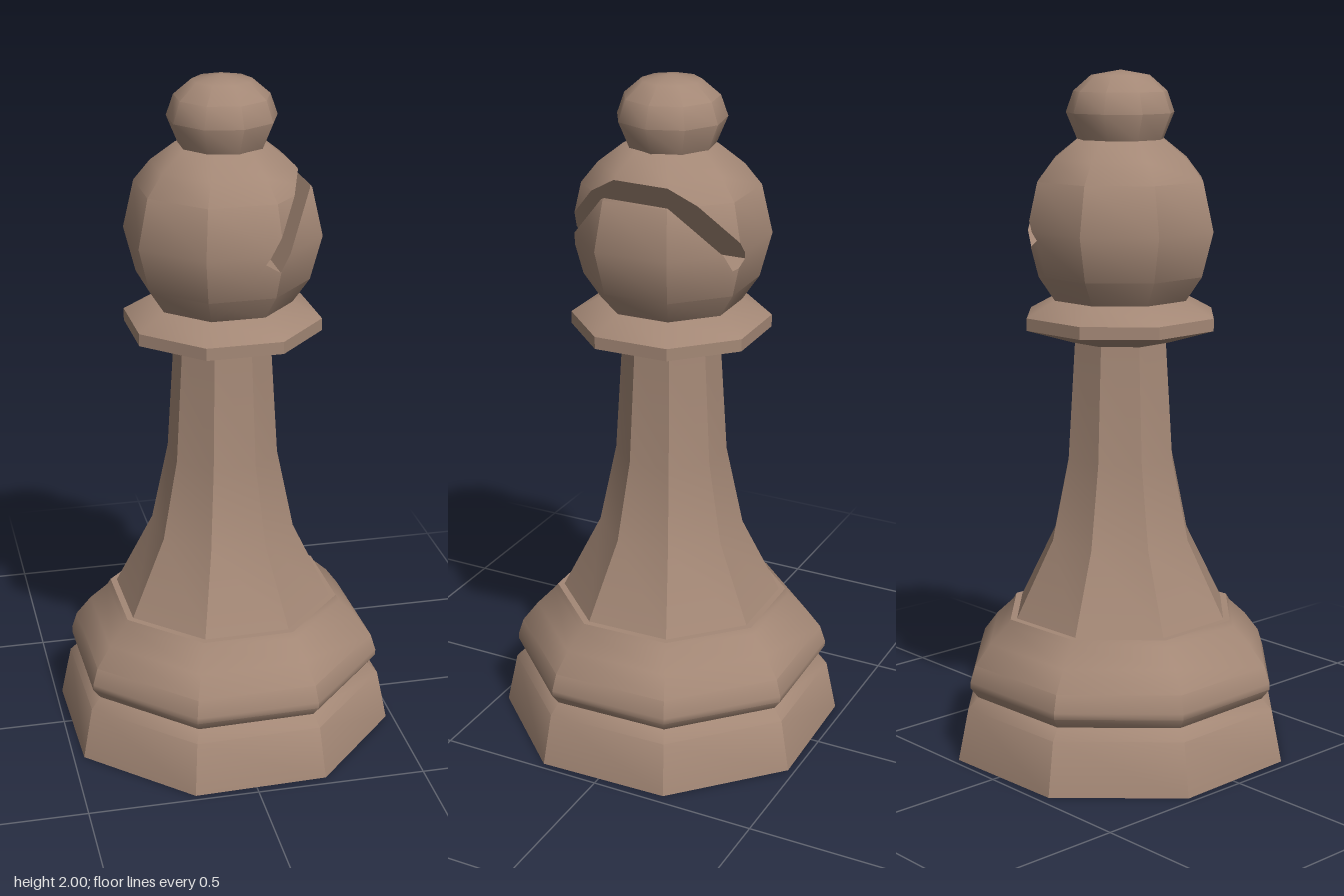
import * as THREE from 'three';
import { toCreasedNormals } from 'three/addons/utils/BufferGeometryUtils.js';

const START = THREE.MathUtils.degToRad(24.1); // slight twist of the octagon
const FLAT = 0.934; // half width seen from the front / corner radius

// Faceted turned solid; profile is [half width, height] from bottom to top
function turned(profile, crease, sides = 8, start = START, k = FLAT) {
  const pts = profile.map(([w, y]) => new THREE.Vector2(w / k, y));
  return toCreasedNormals(new THREE.LatheGeometry(pts, sides, start), crease);
}

// Keep the part of a polygon of {p, n} corners where sign * plane distance >= 0
function clip(poly, plane, sign) {
  const out = [];
  poly.forEach((a, i) => {
    const b = poly[(i + 1) % poly.length];
    const da = sign * plane.distanceToPoint(a.p), db = sign * plane.distanceToPoint(b.p);
    if (da >= 0) out.push(a);
    if ((da > 0 && db < 0) || (da < 0 && db > 0)) {
      const t = da / (da - db);
      out.push({ p: a.p.clone().lerp(b.p, t), n: a.n.clone().lerp(b.n, t).normalize() });
    }
  });
  return out;
}

// Cut a slanted slot through a convex solid along z and add the slot walls
function cutSlot(geo) {
  const u = new THREE.Vector3(0.53, 0.85, 0).normalize(); // up along the slot
  const v = new THREE.Vector3(0.85, -0.53, 0).normalize(); // across the slot
  const z = new THREE.Vector3(0, 0, 1);
  const top = -0.752, low = -0.701, bottom = 1.331;
  const planes = [
    new THREE.Plane(v, -top),
    new THREE.Plane(v.clone().negate(), low),
    new THREE.Plane(u, -bottom),
  ];
  const pos = geo.attributes.position, nor = geo.attributes.normal;
  const polys = [], hull = [];
  for (let i = 0; i < pos.count; i += 3) {
    let rest = [0, 1, 2].map((j) => ({
      p: new THREE.Vector3().fromBufferAttribute(pos, i + j),
      n: new THREE.Vector3().fromBufferAttribute(nor, i + j),
    }));
    const tri = new THREE.Triangle(...rest.map((c) => c.p));
    if (tri.getArea() < 1e-7) continue;
    hull.push(tri.getPlane(new THREE.Plane()));
    for (const plane of planes) {
      polys.push(clip(rest, plane, -1));
      rest = clip(rest, plane, 1);
    }
  }
  // Slot walls: large quads trimmed to the solid
  const at = (s, t, d) => u.clone().multiplyScalar(s).addScaledVector(v, t).addScaledVector(z, d);
  const wall = (s0, t0, s1, t1, n) => {
    let quad = [at(s0, t0, 1), at(s1, t1, 1), at(s1, t1, -1), at(s0, t0, -1)];
    const facing = new THREE.Triangle(quad[0], quad[1], quad[2]).getNormal(new THREE.Vector3());
    if (facing.dot(n) < 0) quad.reverse();
    quad = quad.map((p) => ({ p, n }));
    polys.push(hull.reduce((q, plane) => clip(q, plane, -1), quad));
  };
  wall(bottom, top, 3, top, planes[0].normal);
  wall(bottom, low, 3, low, planes[1].normal);
  wall(bottom, top, bottom, low, planes[2].normal);

  const P = [], N = [];
  for (const poly of polys) {
    for (let i = 1; i + 1 < poly.length; i++) {
      for (const c of [poly[0], poly[i], poly[i + 1]]) {
        P.push(...c.p.toArray());
        N.push(...c.n.toArray());
      }
    }
  }
  const out = new THREE.BufferGeometry();
  out.setAttribute('position', new THREE.Float32BufferAttribute(P, 3));
  out.setAttribute('normal', new THREE.Float32BufferAttribute(N, 3));
  return out;
}

export function createModel() {
  const model = new THREE.Group();
  model.name = 'chessBishop';
  const wood = new THREE.MeshStandardMaterial({ color: 0xa48876 });
  wood.name = 'brownWood';
  const add = (name, geometry) => {
    const mesh = new THREE.Mesh(geometry, wood);
    mesh.name = name;
    model.add(mesh);
  };

  // Plinth with a bevelled top
  add('base', turned([[0, 0], [0.48, 0], [0.45, 0.155], [0.42, 0.187], [0, 0.187]], 0.6));
  // Rounded moulding above the plinth
  add('baseRing', turned([[0, 0.185], [0.42, 0.185], [0.443, 0.217], [0.443, 0.235], [0.428, 0.285],
    [0.385, 0.345], [0.335, 0.395], [0.325, 0.413], [0, 0.42]], 0.7));
  // Flared stem
  add('stem', turned([[0.308, 0.41], [0.2, 0.64], [0.153, 0.88], [0.132, 1.24]], 0.7));
  // Collar under the head
  add('collar', turned([[0, 1.225], [0.14, 1.225], [0.27, 1.267], [0.27, 1.303], [0.185, 1.352], [0, 1.352]], 0.6));
  // Head with its slanted slot
  add('head', cutSlot(turned([[0, 1.345], [0.187, 1.345], [0.235, 1.42], [0.267, 1.55],
    [0.237, 1.69], [0.192, 1.75], [0.125, 1.805], [0, 1.81]], 0.7)));
  // Knob on top
  add('knob', turned([[0, 1.802], [0.125, 1.802], [0.158, 1.88], [0.137, 1.94], [0.085, 1.985], [0, 2]],
    0.75, 9, Math.PI / 2, 1));
  return model;
}
